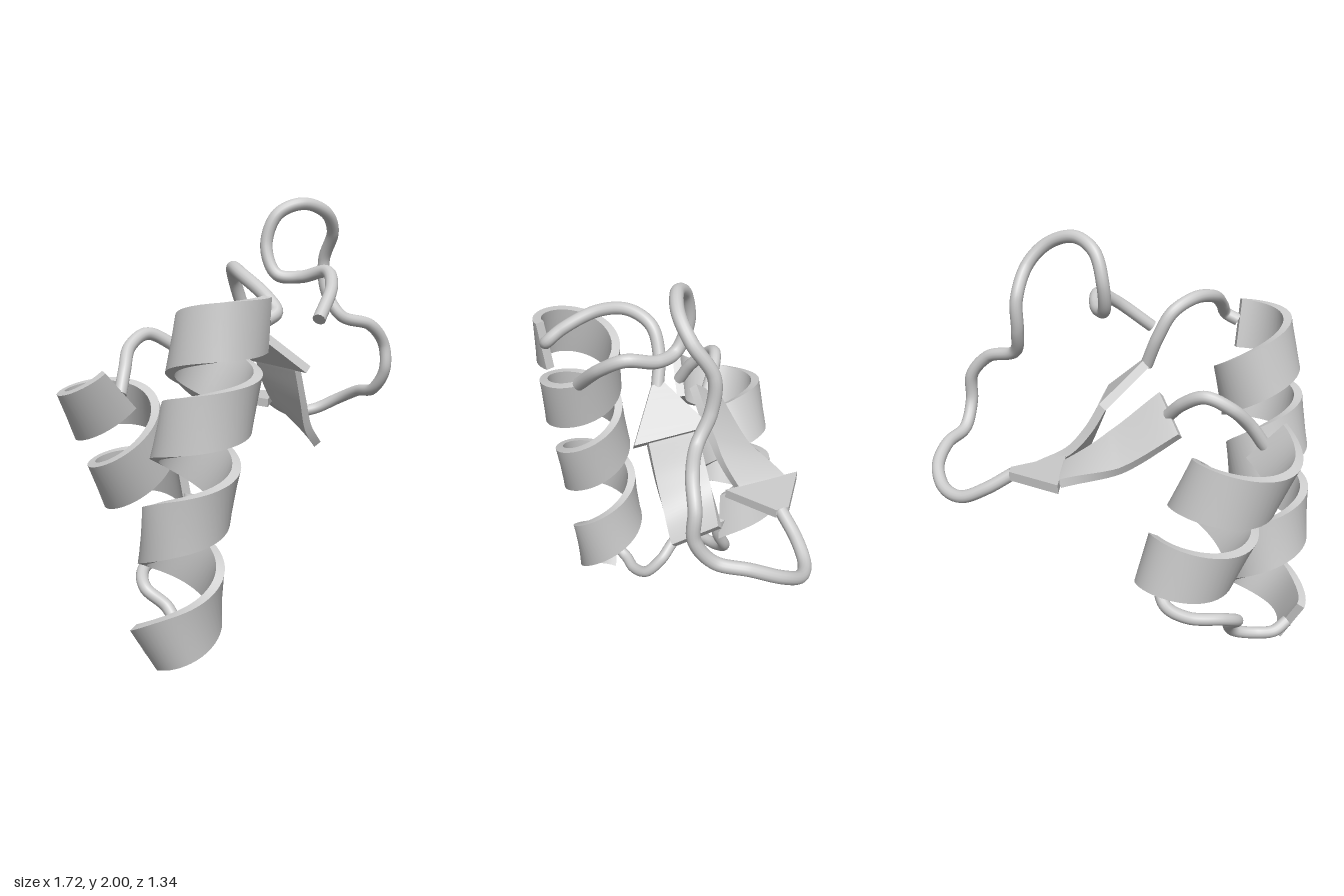
import * as THREE from 'three';

const V = (a) => new THREE.Vector3(...a);
const spline = (pts) => new THREE.CatmullRomCurve3(pts.map(V));
const material = new THREE.MeshStandardMaterial({ color: 0xcccccc });
const THICK = 0.02; // half thickness of every ribbon
const HALF = 0.115; // half width of every ribbon

// Rectangular section swept along stations { p: centre, w: half-width vector }
function sweep(stations) {
  const pos = [], idx = [];
  const last = stations.length - 1;
  const rings = stations.map(({ p, w }, i) => {
    const t = stations[Math.min(i + 1, last)].p.clone().sub(stations[Math.max(i - 1, 0)].p);
    const n = t.cross(w).normalize().multiplyScalar(THICK);
    return [[1, 1], [-1, 1], [-1, -1], [1, -1]].map(([a, b]) =>
      p.clone().addScaledVector(w, a).addScaledVector(n, b));
  });
  const add = (...vs) => vs.forEach((v) => pos.push(v.x, v.y, v.z));
  // four long sides, each smooth along its length with sharp edges between
  for (let k = 0; k < 4; k++) {
    const base = pos.length / 3;
    rings.forEach((r) => add(r[k], r[(k + 1) % 4]));
    for (let i = 0; i < last; i++) {
      const a = base + i * 2;
      idx.push(a, a + 1, a + 2, a + 1, a + 3, a + 2);
    }
  }
  // end caps
  const s = pos.length / 3;
  add(...rings[0], ...rings[last]);
  idx.push(s, s + 2, s + 1, s, s + 3, s + 2, s + 4, s + 5, s + 6, s + 4, s + 6, s + 7);
  const g = new THREE.BufferGeometry();
  g.setAttribute('position', new THREE.Float32BufferAttribute(pos, 3));
  g.setIndex(idx);
  g.computeVertexNormals();
  return g;
}

function part(name, geometry) {
  const m = new THREE.Mesh(geometry, material);
  m.name = name;
  return m;
}

// Right-handed coiled ribbon rising around a curved axis; angles in degrees.
// The ribbon's width turns towards startDir over the first part of the coil.
function helix(name, axisPoints, a0, a1, r0, r1, startDir) {
  const axis = spline(axisPoints);
  const at = (f) => {
    const u = axis.getTangent(f);
    const e1 = new THREE.Vector3(1, 0, 0).addScaledVector(u, -u.x).normalize();
    const e2 = u.clone().cross(e1);
    const phi = THREE.MathUtils.degToRad(a0 + (a1 - a0) * f);
    const r = r0 + (r1 - r0) * f;
    const p = axis.getPoint(f)
      .addScaledVector(e1, r * Math.cos(phi)).addScaledVector(e2, r * Math.sin(phi));
    return { p, u };
  };
  const N = Math.round((a1 - a0) / 8);
  const raw = Array.from({ length: N + 1 }, (_, i) => at(i / N));
  return part(name, sweep(raw.map(({ p, u }, i) => {
    const t = raw[Math.min(i + 1, N)].p.clone().sub(raw[Math.max(i - 1, 0)].p).normalize();
    const w = u.clone().addScaledVector(t, -u.dot(t)).normalize();
    w.lerp(V(startDir).normalize(), 1 - THREE.MathUtils.smoothstep(i * 8, 0, 100));
    return { p, w: w.normalize().multiplyScalar(HALF) };
  })));
}

// Twisting flat ribbon ending in an arrowhead
function strand(name, centres, widths, barb, tip) {
  const group = new THREE.Group();
  group.name = name;
  const c = spline(centres), d = spline(widths);
  const body = Array.from({ length: 25 }, (_, i) => ({
    p: c.getPoint(i / 24),
    w: d.getPoint(i / 24).normalize().multiplyScalar(HALF),
  }));
  const end = V(centres.at(-1)), dir = V(widths.at(-1)).normalize();
  const head = Array.from({ length: 9 }, (_, i) => ({
    p: end.clone().lerp(V(tip), i / 8),
    w: dir.clone().multiplyScalar(THREE.MathUtils.lerp(barb, 0.03, i / 8)),
  }));
  group.add(part(name + 'Body', sweep(body)), part(name + 'Head', sweep(head)));
  return group;
}

// Round tube with flat closed ends
function coil(name, points) {
  const R = 0.029;
  const group = new THREE.Group();
  group.name = name;
  const path = spline(points);
  group.add(part(name + 'Tube', new THREE.TubeGeometry(path, points.length * 10, R, 14)));
  for (const [f, sign] of [[0, -1], [1, 1]]) {
    const cap = part(name + 'Cap', new THREE.CircleGeometry(R, 14));
    cap.position.copy(path.getPoint(f));
    cap.quaternion.setFromUnitVectors(new THREE.Vector3(0, 0, 1),
      path.getTangent(f).multiplyScalar(sign));
    group.add(cap);
  }
  return group;
}

export function createModel() {
  const model = new THREE.Group();
  model.name = 'ribbonChain';

  model.add(
    // first strand, rising towards the tall helix
    strand('firstStrand',
      [[0.39, 0.88, -0.17], [0.285, 0.97, -0.125], [0.22, 1.09, -0.08], [0.16, 1.24, -0.035]],
      [[0, -0.11, 0.2], [0.06, -0.09, 0.2], [0.1, -0.05, 0.23], [0.16, -0.03, 0.31]],
      0.18, [0, 1.41, 0.05]),
    coil('upperLoop', [
      [0, 1.4, 0.05], [-0.06, 1.54, 0.05], [-0.11, 1.65, 0.09], [-0.16, 1.7, 0.2],
      [-0.18, 1.68, 0.34], [-0.14, 1.6, 0.5], [-0.125, 1.54, 0.57], [-0.18, 1.51, 0.59]]),

    // tall helix
    helix('tallHelix',
      [[-0.48, 0.11, 0.35], [-0.465, 0.68, 0.42], [-0.385, 1.14, 0.47], [-0.305, 1.52, 0.465]],
      185, 1395, 0.15, 0.18, [-0.5, 0.85, 0]),
    coil('lowerLoop', [
      [-0.62, 0.11, 0.36], [-0.58, 0.07, 0.3], [-0.5, 0.06, 0.25], [-0.43, 0.09, 0.17],
      [-0.44, 0.17, 0.09], [-0.52, 0.25, 0.02], [-0.5, 0.3, -0.08], [-0.38, 0.33, -0.2],
      [-0.29, 0.39, -0.25], [-0.23, 0.5, -0.22], [-0.21, 0.6, -0.23]]),

    // short helix leaning away behind it
    helix('shortHelix',
      [[-0.385, 0.55, -0.3], [-0.52, 0.875, -0.23], [-0.655, 1.2, -0.16]],
      -18, 640, 0.18, 0.188, [-0.17, 1, 0]),
    coil('middleLoop', [
      [-0.62, 1.15, 0.02], [-0.58, 1.25, -0.04], [-0.53, 1.34, -0.12],
      [-0.43, 1.39, -0.17], [-0.32, 1.34, -0.17], [-0.24, 1.27, -0.15]]),

    // second strand, falling to the back
    strand('secondStrand',
      [[-0.245, 1.27, -0.145], [-0.05, 1.1, -0.285], [0.13, 1.01, -0.435]],
      [[0.17, 0.14, 0.11], [0.15, 0.09, 0.15], [0.18, -0.01, 0.31]],
      0.18, [0.34, 1.0, -0.535]),

    // long free tail
    coil('freeTail', [
      [0.33, 1.0, -0.53], [0.43, 0.93, -0.6], [0.54, 0.88, -0.64], [0.65, 0.89, -0.625],
      [0.75, 0.95, -0.55], [0.8, 1.01, -0.42], [0.81, 1.04, -0.28], [0.83, 1.15, -0.2],
      [0.82, 1.28, -0.2], [0.73, 1.38, -0.18], [0.57, 1.43, -0.18], [0.51, 1.55, -0.23],
      [0.5, 1.7, -0.24], [0.5, 1.84, -0.15], [0.43, 1.93, -0.09], [0.3, 1.97, -0.07],
      [0.18, 1.92, -0.09], [0.13, 1.78, -0.1], [0.16, 1.65, -0.05], [0.25, 1.64, 0.02],
      [0.32, 1.67, 0.14], [0.29, 1.61, 0.25], [0.17, 1.48, 0.37]]),
  );
  return model;
}
